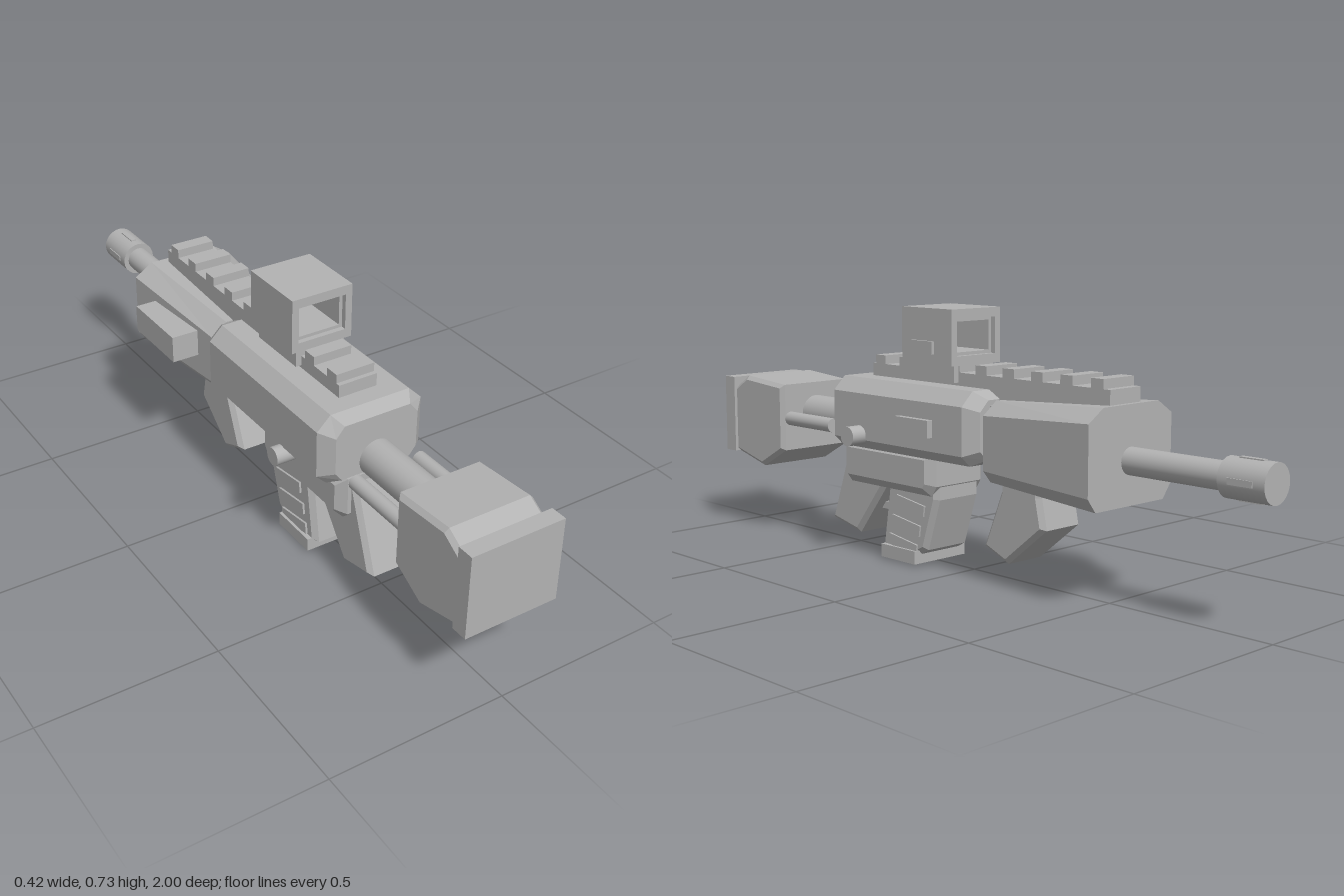
import * as THREE from 'three';

const grey = new THREE.MeshStandardMaterial({ color: 0xb2b2b2 });
grey.name = 'grey';

export function createModel() {
  const model = new THREE.Group();
  model.name = 'model';
  const body = new THREE.Group();
  body.name = 'body';
  body.position.x = 0.003;
  model.add(body);

  function add(name, geometry) {
    const mesh = new THREE.Mesh(geometry, grey);
    mesh.name = name;
    body.add(mesh);
    return mesh;
  }

  // Box given by its limits on each axis
  function box(name, x0, x1, y0, y1, z0, z1) {
    const mesh = add(name, new THREE.BoxGeometry(x1 - x0, y1 - y0, z1 - z0));
    mesh.position.set((x0 + x1) / 2, (y0 + y1) / 2, (z0 + z1) / 2);
    return mesh;
  }

  // Cylinder along z or x between two limits
  function rod(name, axis, radius, a, b, u, y) {
    const geometry = new THREE.CylinderGeometry(radius, radius, b - a, 24);
    const mid = (a + b) / 2;
    if (axis === 'z') geometry.rotateX(Math.PI / 2).translate(u, y, mid);
    else geometry.rotateZ(Math.PI / 2).translate(mid, y, u);
    return add(name, geometry);
  }

  // Side profile of (z, y) points, extruded across x with chamfered edges
  function slab(name, points, half, bevel) {
    const shape = new THREE.Shape(points.map(p => new THREE.Vector2(p[0], p[1])));
    const depth = 2 * (half - bevel);
    const geometry = new THREE.ExtrudeGeometry(shape, {
      depth, bevelEnabled: bevel > 0, bevelSegments: 1,
      bevelSize: bevel, bevelThickness: bevel, bevelOffset: -bevel,
    });
    geometry.translate(0, 0, -depth / 2).rotateY(-Math.PI / 2);
    return add(name, geometry);
  }

  // Octagonal sections along z: [z, half top, y top, half, y shoulder, y hip, half bottom, y bottom]
  function loft(name, sections) {
    const rings = sections.map(([z, ht, yt, h, ys, yh, hb, yb]) => [
      [ht, yt, z], [-ht, yt, z], [-h, ys, z], [-h, yh, z],
      [-hb, yb, z], [hb, yb, z], [h, yh, z], [h, ys, z],
    ]);
    const pos = [];
    for (let r = 0; r < rings.length - 1; r++) {
      const a = rings[r], b = rings[r + 1];
      for (let i = 0; i < 8; i++) {
        const j = (i + 1) % 8;
        pos.push(...a[i], ...a[j], ...b[j], ...a[i], ...b[j], ...b[i]);
      }
    }
    const first = rings[0], last = rings[rings.length - 1];
    for (let i = 1; i < 7; i++) {
      pos.push(...first[0], ...first[i + 1], ...first[i]);
      pos.push(...last[0], ...last[i], ...last[i + 1]);
    }
    const geometry = new THREE.BufferGeometry();
    geometry.setAttribute('position', new THREE.Float32BufferAttribute(pos, 3));
    geometry.computeVertexNormals();
    return add(name, geometry);
  }

  // Main housing with chamfered ends, and the flared front guard
  loft('housing', [
    [-0.16, 0.1, 0.505, 0.13, 0.475, 0.37, 0.105, 0.345],
    [-0.12, 0.12, 0.527, 0.16, 0.488, 0.355, 0.13, 0.326],
    [0.415, 0.12, 0.527, 0.16, 0.488, 0.355, 0.13, 0.326],
    [0.45, 0.1, 0.505, 0.125, 0.475, 0.37, 0.105, 0.345],
  ]);
  loft('frontGuard', [
    [-0.565, 0.105, 0.525, 0.159, 0.49, 0.305, 0.13, 0.267],
    [-0.168, 0.08, 0.503, 0.127, 0.467, 0.32, 0.1, 0.287],
  ]);
  box('collar', -0.095, 0.095, 0.33, 0.49, -0.18, -0.15);

  // Lower housing
  slab('lowerHousing', [[0.45, 0.34], [0.45, 0.23], [0.43, 0.21], [0.08, 0.21], [0.06, 0.24], [0.06, 0.34]], 0.11, 0.025);

  // Stock with its end plate and support tubes
  slab('stock', [[0.96, 0.447], [0.895, 0.487], [0.71, 0.473], [0.71, 0.27], [0.82, 0.21], [0.96, 0.245]], 0.13, 0.012);
  box('stockPlate', -0.136, 0.136, 0.243, 0.479, 0.953, 1);
  rod('stockTube', 'z', 0.052, 0.43, 0.72, 0, 0.38);
  for (const side of [-1, 1]) rod('stockRod', 'z', 0.021, 0.5, 0.72, side * 0.098, 0.368);

  // Barrel and muzzle with slots around it
  rod('barrel', 'z', 0.036, -0.88, -0.55, 0, 0.382);
  rod('muzzle', 'z', 0.051, -1, -0.867, 0, 0.382);
  for (let i = 0; i < 4; i++) {
    const a = i * Math.PI / 2;
    const slot = add('muzzleSlot', new THREE.BoxGeometry(0.008, 0.016, 0.07));
    slot.position.set(Math.cos(a) * 0.049, 0.382 + Math.sin(a) * 0.049, -0.932);
    slot.rotation.z = a;
  }

  // Grips
  slab('rearGrip', [[0.46, 0.32], [0.545, 0.08], [0.42, 0.052], [0.29, 0.22], [0.29, 0.32]], 0.074, 0.013);
  slab('frontGrip', [[-0.175, 0.3], [-0.175, 0.26], [-0.11, 0.1], [-0.2, 0.063], [-0.338, 0.175], [-0.32, 0.26], [-0.32, 0.3]], 0.074, 0.013);

  // Magazine with base plate and side ribs
  slab('magazine', [[0.265, 0.26], [0.3, 0.035], [0.2, 0.002], [0.11, 0.05], [0.062, 0.2], [0.062, 0.26]], 0.084, 0.014);
  box('magazineBase', -0.098, 0.098, 0.007, 0.045, 0.14, 0.285);
  [[0.172, 0.17], [0.112, 0.188], [0.055, 0.202]].forEach(([y, z]) => {
    for (const side of [-1, 1]) {
      const rib = add('magazineRib', new THREE.BoxGeometry(0.014, 0.032, 0.12));
      rib.position.set(side * 0.083, y, z);
      rib.rotation.x = -0.15;
    }
  });

  // Trigger and guard
  box('triggerGuard', -0.03, 0.03, 0.13, 0.152, 0.27, 0.38);
  box('trigger', -0.015, 0.015, 0.185, 0.22, 0.265, 0.285);

  // Toothed top rail
  box('rail', -0.058, 0.058, 0.5, 0.563, -0.545, 0.36);
  for (let i = 0; i < 9; i++) {
    const z = -0.502 + i * 0.1035;
    box('railTooth', -0.058, 0.058, 0.56, 0.588, z - 0.021, z + 0.021);
  }

  // Sight: hollow frame, narrower inner frame, mount and button
  function frame(name, w, h, hw, hh, z0, z1) {
    const rect = (Type, a, b) => new Type().moveTo(-a, -b).lineTo(a, -b).lineTo(a, b).lineTo(-a, b).closePath();
    const shape = rect(THREE.Shape, w, h);
    shape.holes.push(rect(THREE.Path, hw, hh));
    const geometry = new THREE.ExtrudeGeometry(shape, { depth: z1 - z0, bevelEnabled: false });
    add(name, geometry.translate(0, 0.659, z0));
  }
  frame('sightFrame', 0.092, 0.077, 0.072, 0.051, -0.01, 0.193);
  frame('sightInner', 0.073, 0.052, 0.062, 0.042, 0.005, 0.178);
  box('sightMount', -0.075, 0.075, 0.535, 0.584, 0, 0.185);
  box('sightButton', 0.085, 0.102, 0.61, 0.646, 0.06, 0.15);

  // Side fittings
  box('sideBox', -0.213, -0.12, 0.378, 0.457, -0.46, -0.24);
  box('sideBoxEnd', -0.204, -0.163, 0.392, 0.443, -0.48, -0.45);
  box('sidePlate', 0.15, 0.178, 0.394, 0.442, -0.005, 0.13);
  rod('leftKnob', 'x', 0.028, 0.14, 0.206, 0.303, 0.368);
  rod('rightKnob', 'x', 0.026, -0.188, -0.1, 0.25, 0.331);

  return model;
}
